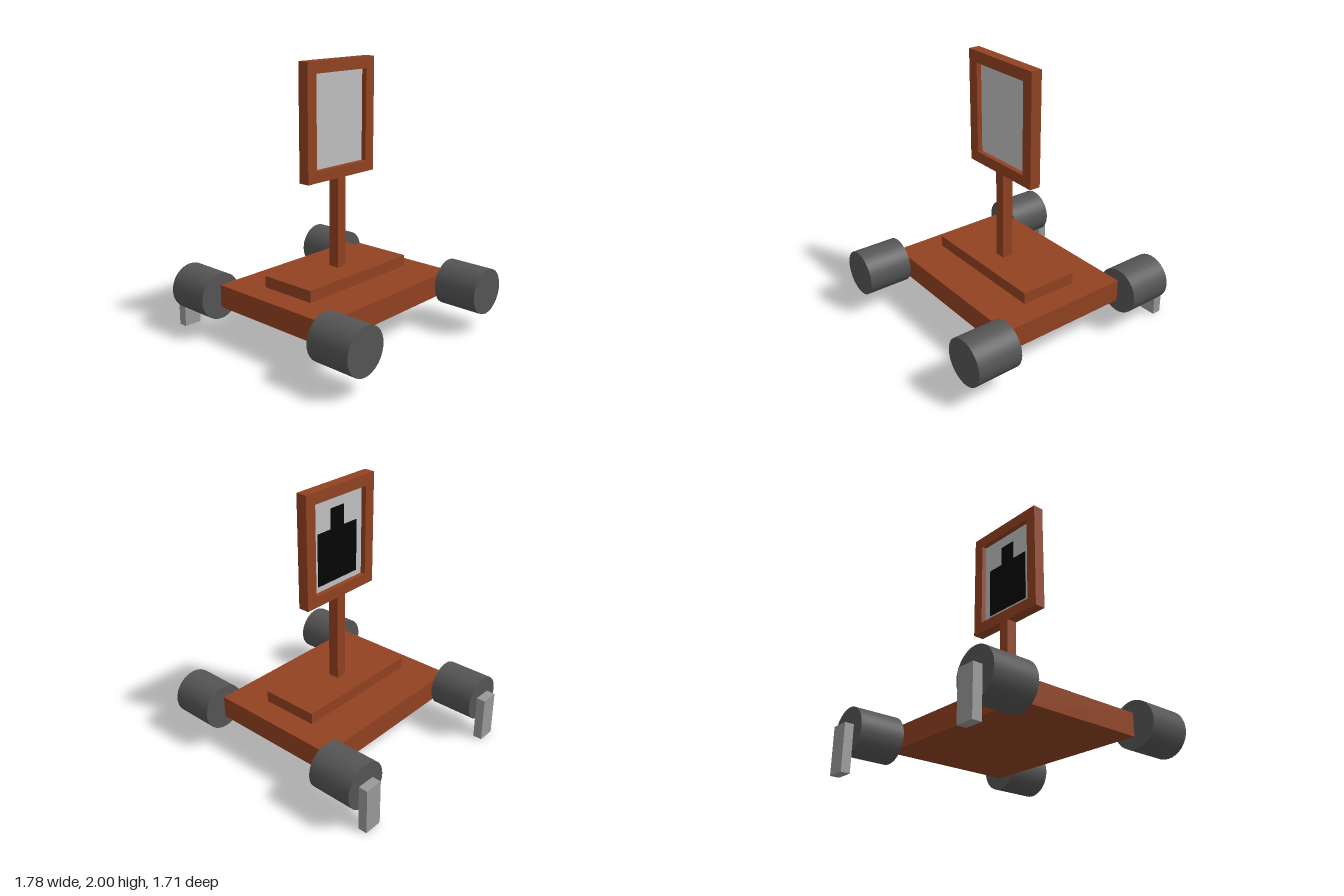
import * as THREE from 'three';

const material = (name, color) => {
  const m = new THREE.MeshStandardMaterial({ color });
  m.name = name;
  return m;
};

export function createModel() {
  const model = new THREE.Group();
  model.name = 'wheeledSign';

  const wood = material('brown wood', 0x914221);
  const rubber = material('dark grey', 0x555555);
  const metal = material('mid grey', 0x999999);
  const paper = material('light grey', 0xc0c0c0);
  const black = material('black', 0x050505);

  // Box given by its lower and upper limits on each axis
  const box = (name, mat, [x0, x1], [y0, y1], [z0, z1], parent = model) => {
    const mesh = new THREE.Mesh(new THREE.BoxGeometry(x1 - x0, y1 - y0, z1 - z0), mat);
    mesh.position.set((x0 + x1) / 2, (y0 + y1) / 2, (z0 + z1) / 2);
    mesh.name = name;
    parent.add(mesh);
    return mesh;
  };

  // Platform, with a plate floating just above it
  box('platform', wood, [-0.483, 0.546], [0.23, 0.398], [-0.685, 0.685]);
  box('plate', wood, [-0.19, 0.253], [0.409, 0.494], [-0.515, 0.515]);

  // Wheels at the corners, with support legs outside the -x pair
  const wheelGeometry = new THREE.CylinderGeometry(0.171, 0.171, 0.342, 32).rotateZ(Math.PI / 2);
  for (const z of [-0.685, 0.685]) {
    for (const x of [-0.654, 0.717]) {
      const wheel = new THREE.Mesh(wheelGeometry, rubber);
      wheel.position.set(x, 0.314, z);
      wheel.name = 'wheel';
      model.add(wheel);
    }
    box('supportLeg', metal, [-0.894, -0.825], [0, 0.345], [z - 0.069, z + 0.069]);
  }

  // Post
  const depth = [-0.01, 0.074];
  box('post', wood, depth, [0.494, 1.165], [-0.04, 0.04]);

  // Frame: an upright rectangle with an opening, facing along x
  const outline = new THREE.Shape();
  outline.moveTo(-0.343, 1.165).lineTo(0.343, 1.165).lineTo(0.343, 2).lineTo(-0.343, 2).closePath();
  const opening = new THREE.Path();
  opening.moveTo(-0.257, 1.247).lineTo(-0.257, 1.916).lineTo(0.257, 1.916).lineTo(0.257, 1.247).closePath();
  outline.holes.push(opening);
  const frameGeometry = new THREE.ExtrudeGeometry(outline, { depth: depth[1] - depth[0], bevelEnabled: false });
  frameGeometry.rotateY(Math.PI / 2).translate(depth[0], 0, 0);
  const frame = new THREE.Mesh(frameGeometry, wood);
  frame.name = 'frame';
  model.add(frame);

  // Panel and the dark silhouette on its -x face
  box('panel', paper, [0.028, 0.036], [1.247, 1.916], [-0.257, 0.257]);
  const figure = new THREE.Group();
  figure.name = 'silhouette';
  box('silhouetteBody', black, [0.024, 0.028], [1.29, 1.68], [-0.2, 0.2], figure);
  box('silhouetteHead', black, [0.024, 0.028], [1.68, 1.83], [-0.067, 0.067], figure);
  model.add(figure);

  return model;
}
